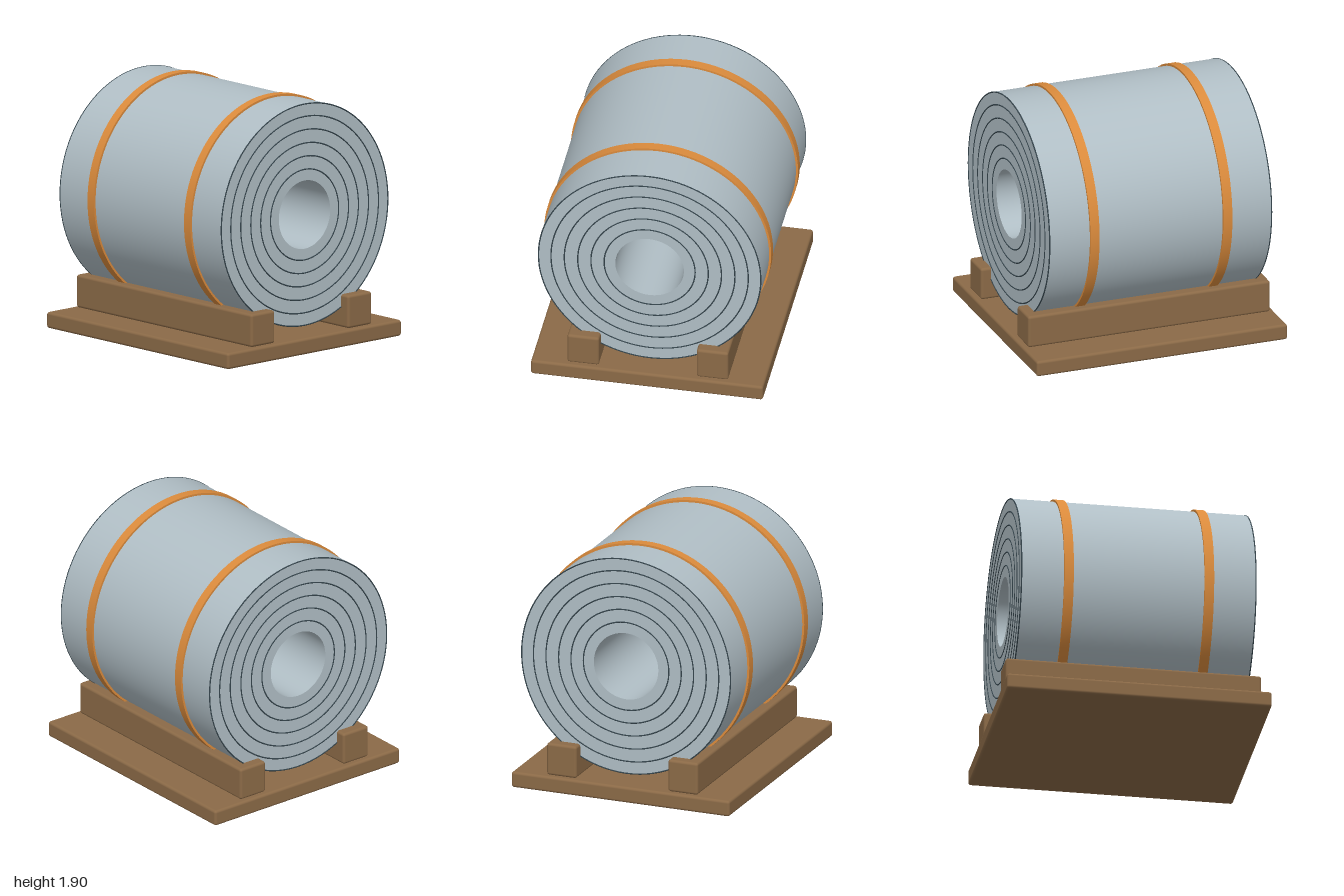
import * as THREE from 'three';
import { toCreasedNormals } from 'three/addons/utils/BufferGeometryUtils.js';
import { RoundedBoxGeometry } from 'three/addons/geometries/RoundedBoxGeometry.js';

const AXIS_Y = 1.035; // height of the coil axis
const COIL_R = 0.845;
const HALF_LENGTH = 0.885;

function material(name, color) {
  const m = new THREE.MeshStandardMaterial({ color });
  m.name = name;
  return m;
}

// Hollow cylinder lying along x, with crisp rims
function hollowCylinder(inner, outer, width) {
  const h = width / 2;
  const profile = [[inner, -h], [outer, -h], [outer, h], [inner, h], [inner, -h]]
    .map(([r, y]) => new THREE.Vector2(r, y));
  return toCreasedNormals(new THREE.LatheGeometry(profile, 96), 0.6).rotateZ(Math.PI / 2);
}

export function createModel() {
  const steel = material('steel', 0xb0bec5);
  const seam = material('dark seam', 0x37474f);
  const strapOrange = material('strap orange', 0xdb8b3c);
  const wood = material('wood', 0x8b6a47);

  const model = new THREE.Group();
  model.name = 'coilOnPallet';
  const add = (name, geometry, mat, x, y, z) => {
    const mesh = new THREE.Mesh(geometry, mat);
    mesh.name = name;
    mesh.position.set(x, y, z);
    model.add(mesh);
  };

  // Wooden base and the two chocks that cradle the coil
  add('base', new RoundedBoxGeometry(2, 0.122, 1.76, 3, 0.02), wood, 0, 0.061, 0);
  const chock = new RoundedBoxGeometry(1.93, 0.25, 0.24, 3, 0.02);
  for (const side of [-1, 1]) add(side > 0 ? 'frontChock' : 'backChock', chock, wood, 0, 0.248, side * 0.49);

  // Steel coil
  add('coil', hollowCylinder(0.26, COIL_R, HALF_LENGTH * 2), steel, 0, AXIS_Y, 0);

  // Layer seams on both ends
  for (const r of [0.345, 0.445, 0.545, 0.647, 0.748, 0.843]) {
    const ring = new THREE.TorusGeometry(r, 0.005, 6, 96).rotateY(Math.PI / 2);
    for (const side of [-1, 1]) add(side > 0 ? 'leftSeam' : 'rightSeam', ring, seam, side * HALF_LENGTH, AXIS_Y, 0);
  }

  // Straps around the coil
  const strap = hollowCylinder(COIL_R - 0.01, 0.861, 0.072);
  for (const side of [-1, 1]) add(side > 0 ? 'leftStrap' : 'rightStrap', strap, strapOrange, side * 0.53, AXIS_Y, 0);

  return model;
}
